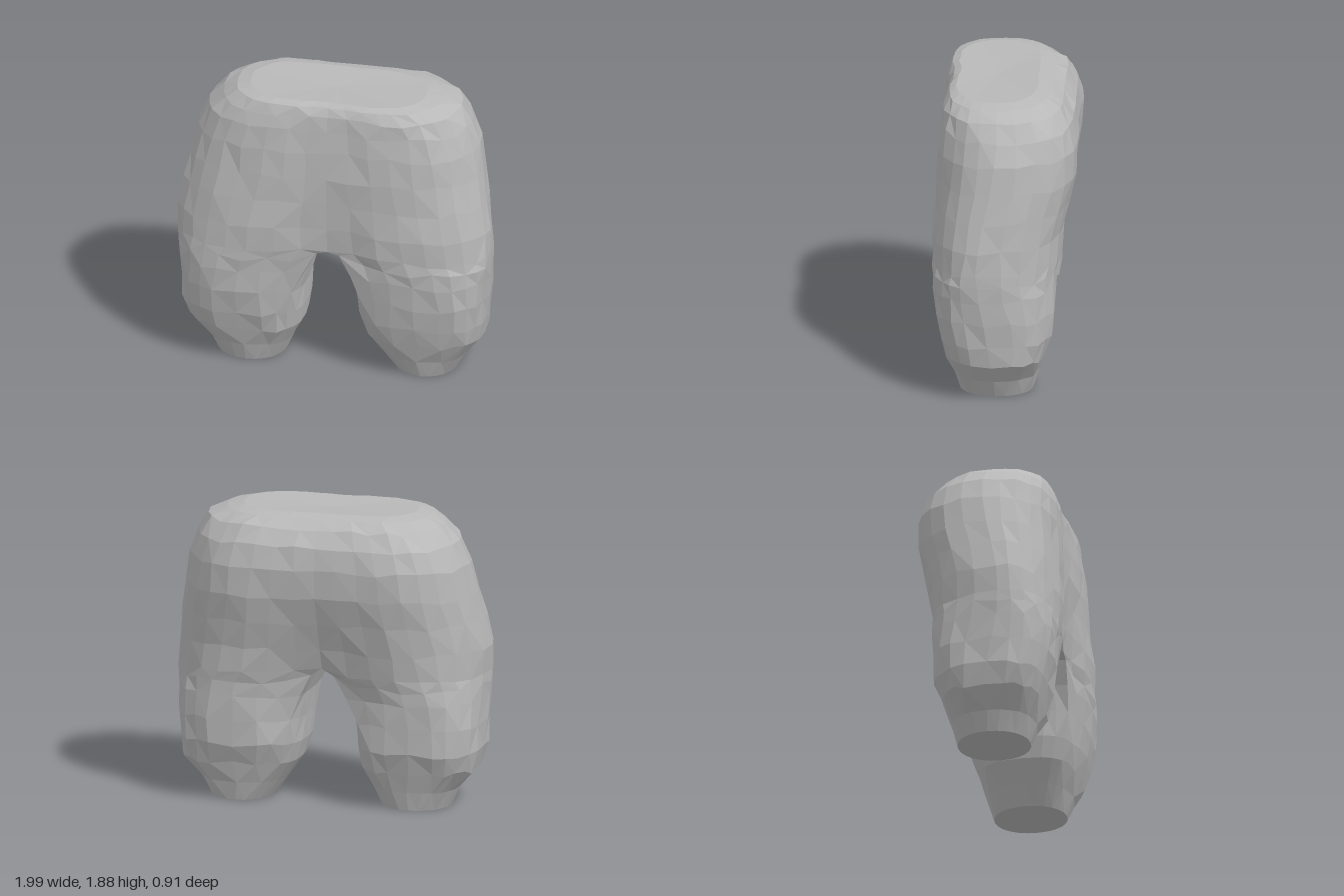
import * as THREE from 'three';

const { lerp, clamp, smoothstep } = THREE.MathUtils;

// Sections, bottom to top: y, left inner x, left outer x, right inner x, right outer x, widest z, front z, back z
const SECTIONS = [
  [0.00, 0.37, 0.77, 0.32, 0.76, 0.05, 0.28, -0.18],
  [0.12, 0.29, 0.83, 0.27, 0.81, 0.06, 0.32, -0.21],
  [0.25, 0.20, 0.94, 0.20, 0.925, 0.07, 0.37, -0.255],
  [0.38, 0.16, 0.955, 0.18, 0.96, 0.09, 0.405, -0.305],
  [0.54, 0.145, 0.975, 0.17, 0.97, 0.12, 0.435, -0.315],
  [0.70, 0.125, 0.985, 0.13, 0.98, 0.15, 0.45, -0.32],
  [0.79, 0.07, 0.995, 0.07, 0.985, 0.16, 0.455, -0.325],
  [0.86, 0, 0.995, 0, 0.99, 0.16, 0.455, -0.335],
  [1.02, 0, 0.99, 0, 1.00, 0.15, 0.452, -0.36],
  [1.20, 0, 0.965, 0, 0.965, 0.12, 0.44, -0.40],
  [1.38, 0, 0.935, 0, 0.925, 0.08, 0.43, -0.44],
  [1.56, 0, 0.90, 0, 0.885, 0.05, 0.42, -0.445],
  [1.70, 0, 0.845, 0, 0.815, 0.04, 0.405, -0.415],
  [1.80, 0, 0.78, 0, 0.725, 0.04, 0.39, -0.345],
  [1.855, 0, 0.67, 0, 0.64, 0.05, 0.365, -0.265],
  [1.875, 0, 0.57, 0, 0.55, 0.06, 0.32, -0.19],
];
const CROTCH = 7;   // first section where both legs share the centre seam
const N = 24;       // points around a leg
const F = 9, B = 15; // front and back seam points

// Small repeatable unevenness for the cloth
const noise = (a, b, c) => {
  const v = Math.sin(a * 12.99 + b * 78.23 + c * 37.72) * 43758.55;
  return (v - Math.floor(v) - 0.5) * 0.016;
};

function section(j, side) {
  const s = SECTIONS[j], [y, , , , , zm, zf, zb] = s;
  const xi = side > 0 ? s[1] : s[3], xo = side > 0 ? s[2] : s[4];
  const rise = clamp((y - 0.85) / 0.5, 0, 1);
  const join = smoothstep(y, 0.35, 0.85);   // round leg below, joined body above
  const cx = lerp((xo + xi) / 2, xo * 0.45, rise);
  const top = smoothstep(y, 1.4, 1.75);
  const seamF = zf - 0.02 - 0.06 * (1 - rise);
  const seamB = zb + 0.025 * (1 - top) + 0.08 * (1 - rise);
  // Round cuffs, boxy lower legs, rounder hips
  const power = 2.1 + 0.8 * smoothstep(y, 0, 0.25) * (1 - smoothstep(y, 0.4, 1.05)) + 0.1 * top;
  const round = (v) => Math.sign(v) * Math.pow(Math.abs(v), 2 / power);
  const ring = [];
  for (let k = 0; k < N; k++) {
    const a = (k / N) * Math.PI * 2, c = Math.cos(a), n = Math.sin(a);
    let x = cx + round(c) * (c > 0 ? xo - cx : cx - xi);
    let z = zm + round(n) * (n > 0 ? zf - zm : zm - zb);
    let h = y;
    const inner = k >= F && k <= B;
    if (inner) {                          // centre seam and inner thigh
      const t = (k - F) / (B - F);
      x = lerp(x, xi, join);
      z = lerp(z, lerp(seamF, seamB, t), join);
      if (j === CROTCH - 1) h = 0.84;
      if (j === CROTCH) h += 0.03 * t;
    } else if (k > 6 && k < 18) {         // front and seat between seam and leg
      const t = k < F ? (k - 6) / 3 : (18 - k) / 3;
      x = lerp(x, lerp(cx, xi, t), join);
      z = lerp(z, lerp(k < F ? zf : zb, k < F ? seamF : seamB, t * t * (3 - 2 * t)), join);
    }
    if (!inner && j > 0) {
      x += noise(k, j, side);
      z += noise(k + 31, j, side);
      if (j > 1 && j < 14) h += noise(k, j + 17, side) * 2;
    }
    ring.push([x * side, h, z]);
  }
  return ring;
}

function shortsGeometry() {
  const pos = [];
  for (const side of [1, -1]) {
    const tri = (a, b, c) => pos.push(...a, ...(side > 0 ? b : c), ...(side > 0 ? c : b));
    const rings = SECTIONS.map((_, j) => section(j, side));
    // Walls of the leg and its half of the torso
    for (let j = 0; j < rings.length - 1; j++) {
      for (let k = 0; k < N; k++) {
        if (j >= CROTCH && k >= F && k < B) continue;
        const m = (k + 1) % N;
        const a = rings[j][k], b = rings[j][m], c = rings[j + 1][m], d = rings[j + 1][k];
        if ((j + k) % 2) { tri(a, d, c); tri(a, c, b); }
        else { tri(a, d, b); tri(d, c, b); }
      }
    }
    // Flat cuff end and gently dipped waist
    const low = rings[0], high = rings[rings.length - 1];
    const cuff = [0.56 * side, 0, 0.05], waist = [0, 1.86, 0.06];
    for (let k = 0; k < N; k++) {
      const m = (k + 1) % N;
      tri(cuff, low[k], low[m]);
      if (k < F || k >= B) tri(waist, high[m], high[k]);
    }
  }
  const geometry = new THREE.BufferGeometry();
  geometry.setAttribute('position', new THREE.Float32BufferAttribute(pos, 3));
  geometry.computeVertexNormals();
  return geometry;
}

export function createModel() {
  const cloth = new THREE.MeshStandardMaterial({ color: 0xb8b8b8, flatShading: true });
  cloth.name = 'grey cloth';
  const shorts = new THREE.Mesh(shortsGeometry(), cloth);
  shorts.name = 'shorts';
  const group = new THREE.Group();
  group.name = 'baggyShorts';
  group.add(shorts);
  return group;
}
